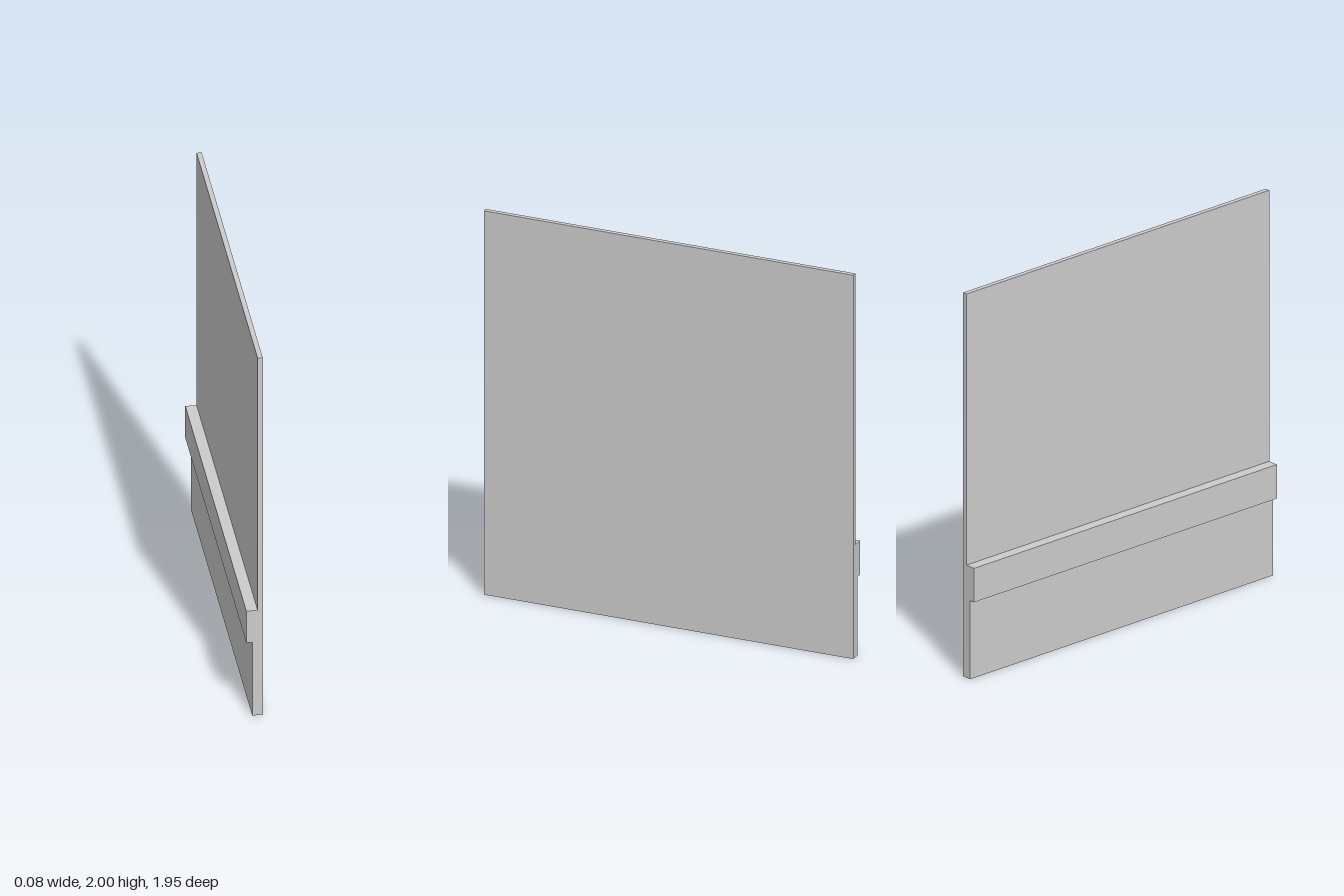
import * as THREE from 'three';

export function createModel() {
  const group = new THREE.Group();
  group.name = 'wallPanel';

  const length = 1.954;
  const face = 0.04;        // flat side
  const upper = 0.015;      // back of the thin upper panel
  const lower = -0.011;     // back of the thicker lower panel
  const rail = -0.04;       // outer face of the rail
  const railBottom = 0.41, railTop = 0.587, height = 2;

  // Stepped wall section: thin panel above, projecting rail, thicker panel below
  const section = new THREE.Shape([
    [face, 0], [face, height], [upper, height], [upper, railTop],
    [rail, railTop], [rail, railBottom], [lower, railBottom], [lower, 0],
  ].map(([x, y]) => new THREE.Vector2(x, y)));

  const geometry = new THREE.ExtrudeGeometry(section, { depth: length, bevelEnabled: false });
  geometry.translate(0, 0, -length / 2);

  const wall = new THREE.Mesh(geometry, new THREE.MeshStandardMaterial({ color: 0xcccccc }));
  wall.name = 'panelWithRail';
  group.add(wall);
  return group;
}
